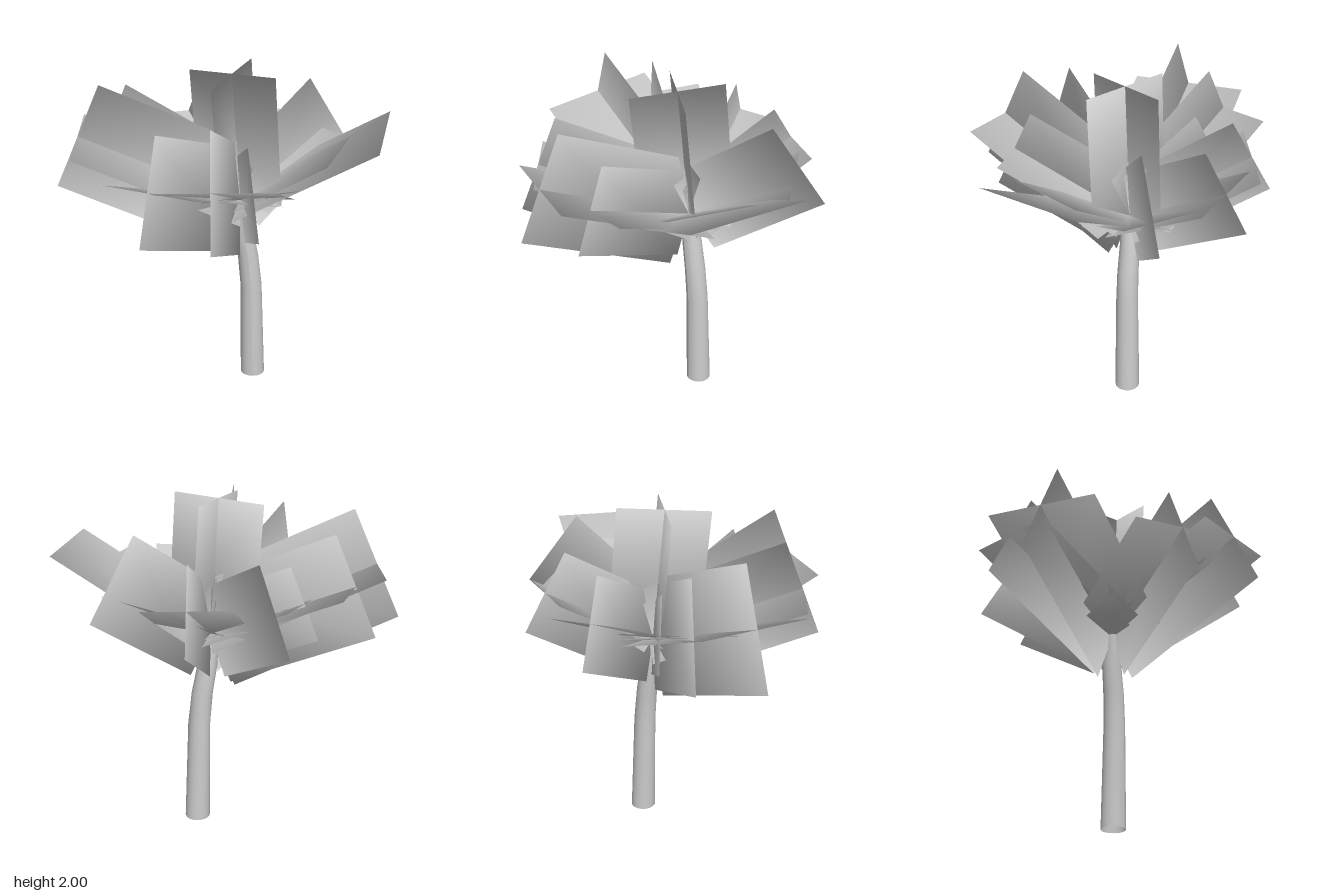
import * as THREE from 'three';

const UP = new THREE.Vector3(0, 1, 0);
const CROWN = new THREE.Vector3(0.1, 1.185, -0.125);
const CANOPY = new THREE.Vector3(0.1, 1.5, -0.12);

export function createModel() {
  const model = new THREE.Group();
  const grey = new THREE.MeshStandardMaterial({ color: 0xcccccc, side: THREE.DoubleSide });
  grey.name = 'pale grey';

  // Leaf card: starts at the crown, runs along dir, spreads along side.
  // Its normals bend away from the canopy centre for soft foliage shading.
  function card(name, dir, side, length, width) {
    const geo = new THREE.PlaneGeometry(width, length).translate(0, length / 2, 0);
    const facing = new THREE.Vector3().crossVectors(side, dir);
    geo.applyMatrix4(new THREE.Matrix4().makeBasis(side, dir, facing));
    const { position, normal } = geo.attributes;
    const v = new THREE.Vector3();
    for (let i = 0; i < position.count; i++) {
      v.fromBufferAttribute(position, i).add(CROWN).sub(CANOPY);
      v.addScaledVector(facing, 0.6).normalize();
      normal.setXYZ(i, v.x, v.y, v.z);
    }
    const mesh = new THREE.Mesh(geo, grey);
    mesh.name = name;
    return mesh;
  }

  // Frond: a flat card and/or an upright one crossing it, aimed at the tip.
  // turn = -1 mirrors the slight roll and the facing of the upright card.
  function frond(tip, { flat = true, upright = true, width = 0, turn = 1, sideways = null } = {}) {
    const dir = new THREE.Vector3(...tip).sub(CROWN);
    const length = dir.length();
    dir.normalize();
    const side = new THREE.Vector3();
    if (sideways) side.copy(sideways).addScaledVector(dir, -sideways.dot(dir)).normalize();
    else side.crossVectors(UP, dir).normalize().applyAxisAngle(dir, 0.08 * turn);
    const across = new THREE.Vector3().crossVectors(dir, side).multiplyScalar(turn);
    const w = width || length / 1.49;
    const group = new THREE.Group();
    group.name = 'frond';
    group.position.copy(CROWN);
    if (flat) group.add(card('flatLeafCard', dir, side, length, w));
    if (upright) group.add(card('uprightLeafCard', dir, across, length, w));
    model.add(group);
  }

  // Ring of spreading crossed fronds
  [
    [-0.055, 1.575, 0.755],
    [0.17, 1.49, 0.575],
    [-0.395, 1.505, 0.58],
    [-0.225, 1.55, -0.725],
    [0.235, 1.57, -0.745],
  ].forEach((tip) => frond(tip));
  [
    [-0.845, 1.59, -0.09],
    [-0.69, 1.56, -0.38],
    [-0.41, 1.47, -0.4],
  ].forEach((tip) => frond(tip, { turn: -1 }));

  // Upright-only and flat-only fronds
  frond([0.63, 1.65, -0.48], { flat: false });
  frond([0.54, 1.53, -0.53], { upright: false, width: 0.47 });
  frond([0.915, 1.68, 0.075], { upright: false });
  frond([0.66, 1.58, 0.115], { upright: false });

  // Steep frond in the middle
  frond([0.05, 1.975, -0.07], { width: 0.54, sideways: new THREE.Vector3(-0.9, -0.03, -0.42) });

  // Bent, tapering trunk from rings: x, y, z, radius
  const rings = [
    [0.187, 0.0, -0.157, 0.074],
    [0.172, 0.62, -0.145, 0.065],
    [0.152, 0.82, -0.14, 0.062],
    [0.12, 1.0, -0.137, 0.058],
    [0.1, 1.185, -0.12, 0.045],
  ];
  const sides = 16;
  const trunkGeo = new THREE.CylinderGeometry(1, 1, 1, sides, rings.length - 1, true);
  const pos = trunkGeo.attributes.position;
  for (let i = 0; i < pos.count; i++) {
    const row = rings.length - 1 - Math.floor(i / (sides + 1));
    const [x, y, z, r] = rings[row];
    pos.setXYZ(i, x + pos.getX(i) * r, y, z + pos.getZ(i) * r);
  }
  trunkGeo.computeVertexNormals();
  const trunk = new THREE.Mesh(trunkGeo, grey);
  trunk.name = 'trunk';
  model.add(trunk);

  return model;
}
